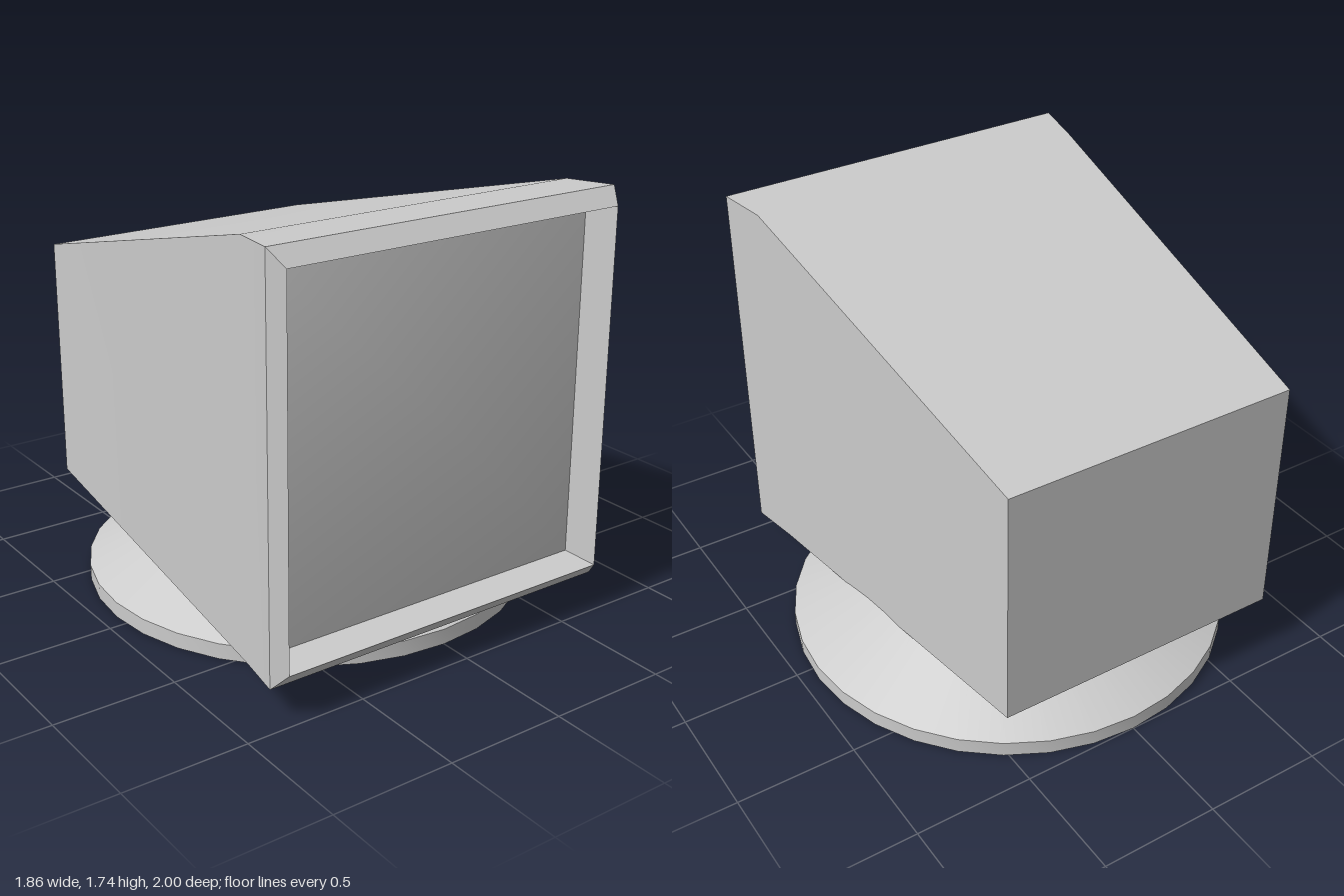
import * as THREE from 'three';
import { toCreasedNormals } from 'three/addons/utils/BufferGeometryUtils.js';

const grey = () => new THREE.MeshStandardMaterial({ color: 0xcccccc });
const CX = -0.075; // the housing sits slightly off the axis of its foot

// Four corners of a rectangular section, counter-clockwise seen from +z
const corners = ([z, hw, y0, y1]) => [
  CX - hw, y0, z, CX + hw, y0, z, CX + hw, y1, z, CX - hw, y1, z,
];

function indexed(positions, index) {
  const g = new THREE.BufferGeometry();
  g.setAttribute('position', new THREE.Float32BufferAttribute(positions, 3));
  g.setIndex(index);
  g.computeVertexNormals();
  return g;
}

// Rectangular sections joined into a skin, closed at the first one
function loft(sections) {
  const index = [0, 2, 1, 0, 3, 2];
  for (let i = 0; i < sections.length - 1; i++) {
    for (let j = 0; j < 4; j++) {
      const a = i * 4 + j, b = i * 4 + (j + 1) % 4;
      index.push(a, b, b + 4, a, b + 4, a + 4);
    }
  }
  return toCreasedNormals(indexed(sections.flatMap(corners), index), 0.5);
}

export function createModel() {
  const model = new THREE.Group();
  const add = (name, geometry) => {
    const mesh = new THREE.Mesh(geometry, grey());
    mesh.name = name;
    model.add(mesh);
  };

  // Sections: z, half width, bottom, top. The last one steps back into the screen recess.
  const recess = [0.83, 0.745, 0.2, 1.675];
  add('housing', loft([
    [-0.925, 0.63, 0.295, 1.33],
    [0.72, 0.745, 0.125, 1.732],
    [0.93, 0.785, 0.13, 1.74],
    [0.994, 0.745, 0.2, 1.675],
    recess,
  ]));

  // Bulging screen, smooth from its edges to the middle
  add('screen', indexed(
    [...corners(recess), CX, 0.935, 1.0],
    [0, 1, 4, 1, 2, 4, 2, 3, 4, 3, 0, 4],
  ));

  // Round foot: flat disc with a sloping top that runs into the housing
  const profile = [[0, 0], [0.932, 0], [0.932, 0.065], [0.45, 0.3], [0, 0.3]]
    .map(([r, y]) => new THREE.Vector2(r, y));
  const foot = new THREE.LatheGeometry(profile, 32);
  foot.translate(0, 0, -0.068);
  add('foot', toCreasedNormals(foot, 0.4));

  return model;
}
